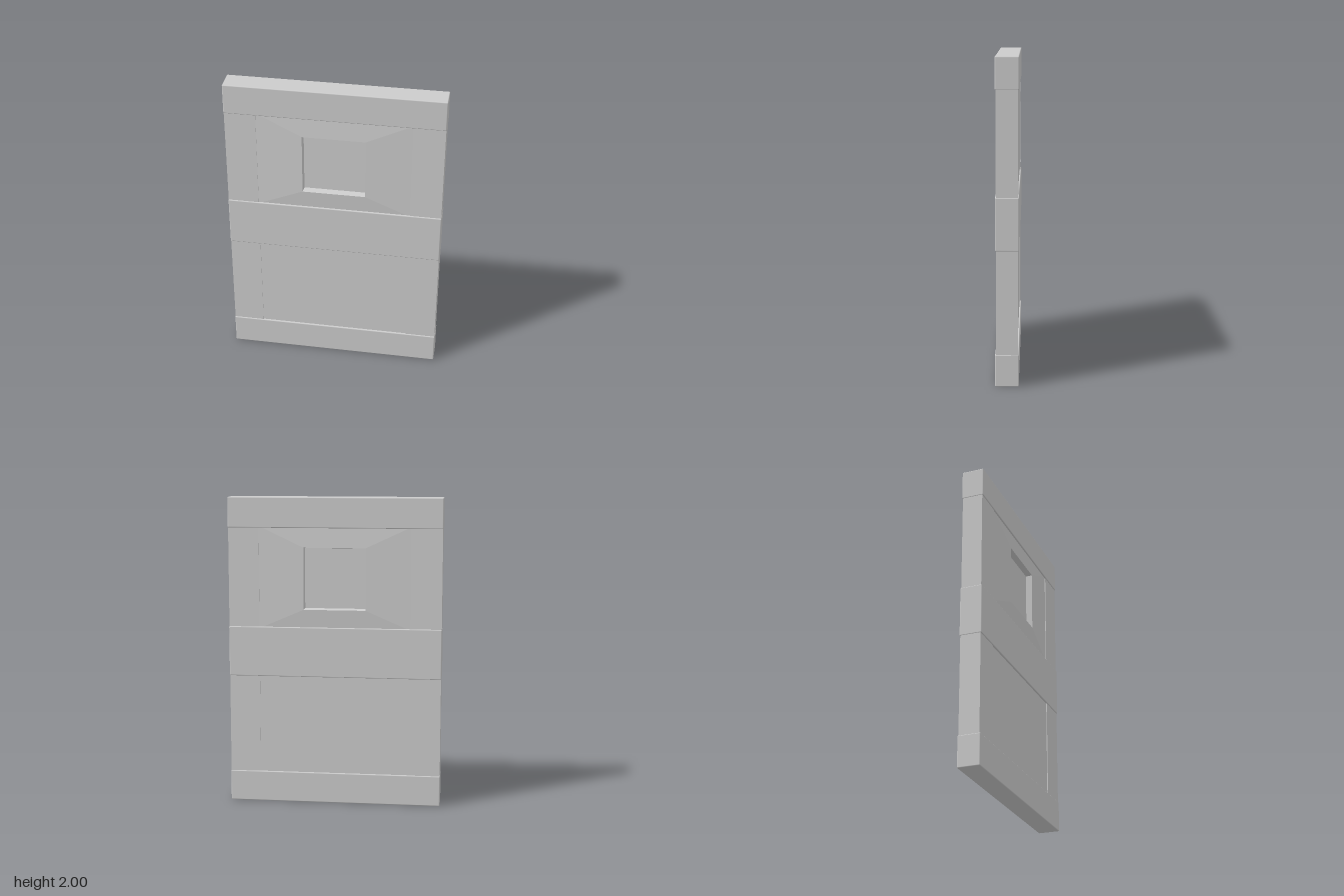
import * as THREE from 'three';
import { RoundedBoxGeometry } from 'three/addons/geometries/RoundedBoxGeometry.js';

const material = new THREE.MeshStandardMaterial({ color: 0xcccccc });
const HALF_W = 0.69, PANEL_X = 0.49, RAIL_Z = 0.072, STILE_Z = 0.066, PANEL_Z = 0.061;

function addBox(group, name, [x0, x1], [y0, y1], halfZ, radius = 0) {
  const w = x1 - x0, h = y1 - y0, d = halfZ * 2;
  const geometry = radius
    ? new RoundedBoxGeometry(w, h, d, 2, radius)
    : new THREE.BoxGeometry(w, h, d);
  const mesh = new THREE.Mesh(geometry, material);
  mesh.name = name;
  mesh.position.set((x0 + x1) / 2, (y0 + y1) / 2, 0);
  group.add(mesh);
}

// Panel face made of nested rectangles: border, raised window rim, recess floor
function windowPanelGeometry() {
  const loops = [
    { x: 0.5, y0: 1.15, y1: 1.82, z: PANEL_Z },
    { x: 0.2, y0: 1.28, y1: 1.68, z: 0.071 },
    { x: 0.195, y0: 1.287, y1: 1.675, z: 0.03 },
  ].map(({ x, y0, y1, z }) => [[-x, y0, z], [x, y0, z], [x, y1, z], [-x, y1, z]]);
  const positions = [];
  const quad = (a, b, c, d) => positions.push(...a, ...b, ...c, ...a, ...c, ...d);
  for (let k = 0; k < loops.length - 1; k++) {
    for (let i = 0; i < 4; i++) {
      const j = (i + 1) % 4;
      quad(loops[k][i], loops[k][j], loops[k + 1][j], loops[k + 1][i]);
    }
  }
  quad(...loops[loops.length - 1]);
  const geometry = new THREE.BufferGeometry();
  geometry.setAttribute('position', new THREE.Float32BufferAttribute(positions, 3));
  geometry.computeVertexNormals();
  return geometry;
}

export function createModel() {
  const door = new THREE.Group();
  door.name = 'door';

  // Horizontal rails, standing slightly proud of everything else
  const rails = { bottomRail: [0, 0.2], middleRail: [0.84, 1.165], topRail: [1.805, 2] };
  for (const [name, span] of Object.entries(rails)) {
    addBox(door, name, [-HALF_W, HALF_W], span, RAIL_Z, 0.006);
  }

  // Vertical stiles between the rails
  for (const [level, span] of [['lower', [0.19, 0.85]], ['upper', [1.155, 1.815]]]) {
    addBox(door, level + 'LeftStile', [PANEL_X, HALF_W - 0.002], span, STILE_Z);
    addBox(door, level + 'RightStile', [-HALF_W + 0.002, -PANEL_X], span, STILE_Z);
  }

  // Plain lower panel
  addBox(door, 'lowerPanel', [-0.5, 0.5], [0.19, 0.85], PANEL_Z);

  // Upper panel with a square window recess on both faces
  const face = windowPanelGeometry();
  for (const [name, turn] of [['frontWindowPanel', 0], ['backWindowPanel', Math.PI]]) {
    const mesh = new THREE.Mesh(face, material);
    mesh.name = name;
    mesh.rotation.y = turn;
    door.add(mesh);
  }
  return door;
}
